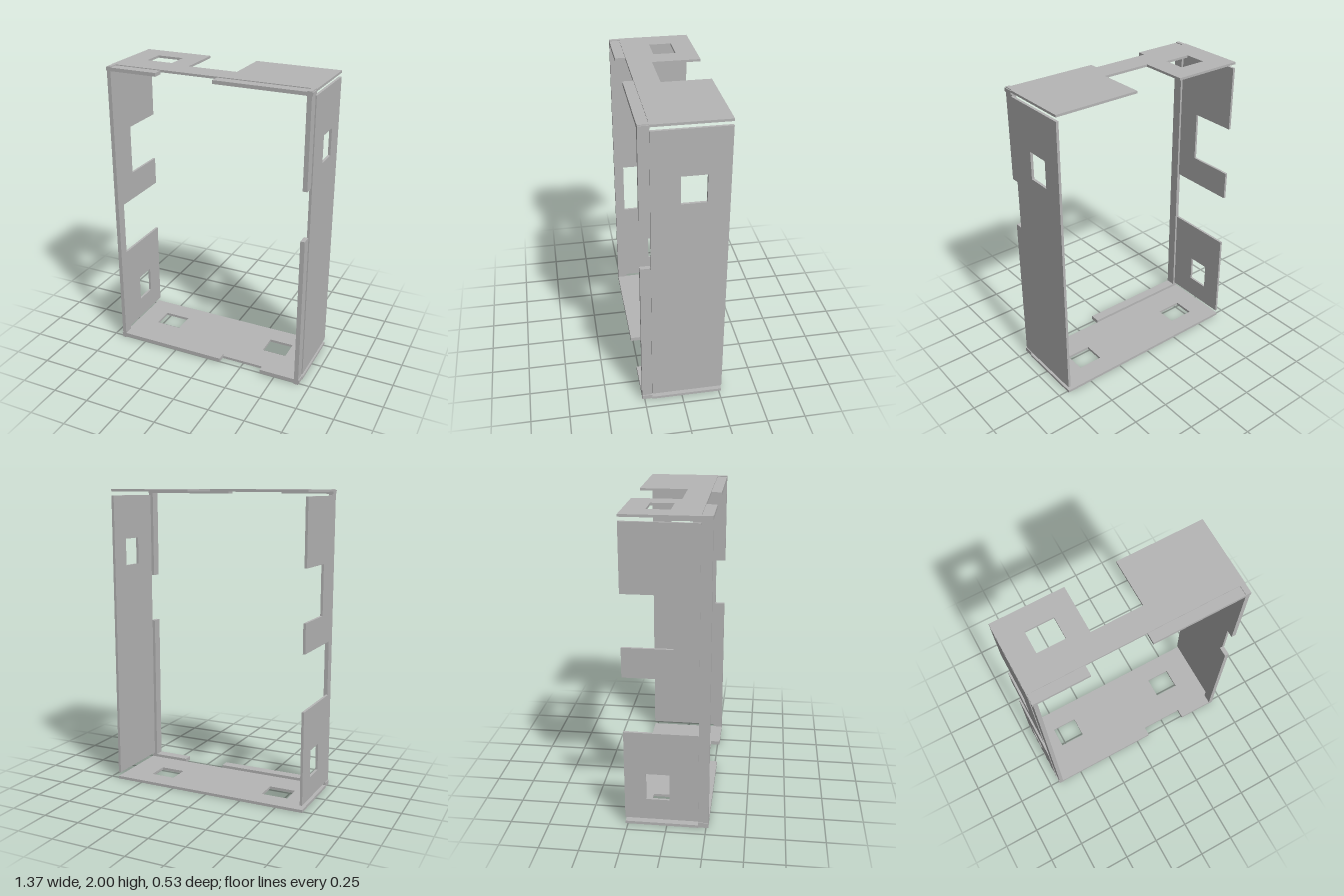
import * as THREE from 'three';

const W = 0.683, D = 0.266, RIM = 0.2; // half width, half depth, z where the front rim starts

const grey = new THREE.MeshStandardMaterial({ color: 0xb6b6b6 });
grey.name = 'plainGrey';

const rect = (u0, u1, v0, v1) => [[u0, v0], [u1, v0], [u1, v1], [u0, v1]];
const toPoints = (list) => list.map(([u, v]) => new THREE.Vector2(u, v));

// Flat sheet with rectangular windows
function sheet(outline, windows, thickness) {
  const shape = new THREE.Shape(toPoints(outline));
  windows.forEach((w) => shape.holes.push(new THREE.Path(toPoints(w).reverse())));
  return new THREE.ExtrudeGeometry(shape, { depth: thickness, bevelEnabled: false });
}

export function createModel() {
  const model = new THREE.Group();
  model.name = 'openFrame';

  const add = (name, geometry) => {
    const mesh = new THREE.Mesh(geometry, grey);
    mesh.name = name;
    model.add(mesh);
  };
  // Horizontal sheets are drawn in (x, -z), upright ones in (-z, y)
  const level = (name, outline, windows, y0, y1) =>
    add(name, sheet(outline, windows, y1 - y0).rotateX(-Math.PI / 2).translate(0, y0, 0));
  const upright = (name, outline, windows, x0, x1) =>
    add(name, sheet(outline, windows, x1 - x0).rotateY(Math.PI / 2).translate(x0, 0, 0));
  const bar = (name, x0, x1, y0, y1) =>
    add(name, new THREE.BoxGeometry(x1 - x0, y1 - y0, D - RIM)
      .translate((x0 + x1) / 2, (y0 + y1) / 2, (RIM + D) / 2));

  // Top panel, notched from the back
  level('topPanel',
    [[-W, -RIM], [W, -RIM], [W, D], [0.115, D], [0.115, -0.045], [-0.215, -0.045], [-0.215, D], [-W, D]],
    [rect(-0.53, -0.35, -0.015, 0.13)], 1.985, 2);

  // Bottom panel with two windows
  level('bottomPanel', rect(-W, W, -RIM, D),
    [rect(-0.53, -0.35, -0.015, 0.13), rect(0.32, 0.49, -0.015, 0.13)], 0, 0.018);

  // Left panel with one window
  upright('leftPanel', rect(-RIM, D, 0.047, 1.96), [rect(-0.025, 0.13, 1.49, 1.67)], 0.666, W);

  // Right panel in two pieces, the upper one notched from the back
  upright('rightPanelLower', rect(-RIM, D, 0.047, 0.655), [rect(-0.02, 0.13, 0.19, 0.37)], -W, -0.667);
  upright('rightPanelUpper',
    [[-RIM, 1.02], [D, 1.02], [D, 1.21], [-0.045, 1.21], [-0.045, 1.54], [D, 1.54], [D, 1.96], [-RIM, 1.96]],
    [], -W, -0.667);

  // Front rim bars with gaps
  bar('rightRim', -0.678, -0.652, 0, 2);
  bar('leftRimLower', 0.647, 0.676, 0, 1.06);
  bar('leftRimUpper', 0.647, 0.676, 1.39, 2);
  bar('topRimRight', -W, -0.33, 1.972, 1.995);
  bar('topRimLeft', 0.055, W, 1.972, 1.995);
  bar('bottomRimRight', -W, 0.1, 0.01, 0.037);
  bar('bottomRimLeft', 0.4, W, 0.01, 0.037);

  return model;
}
